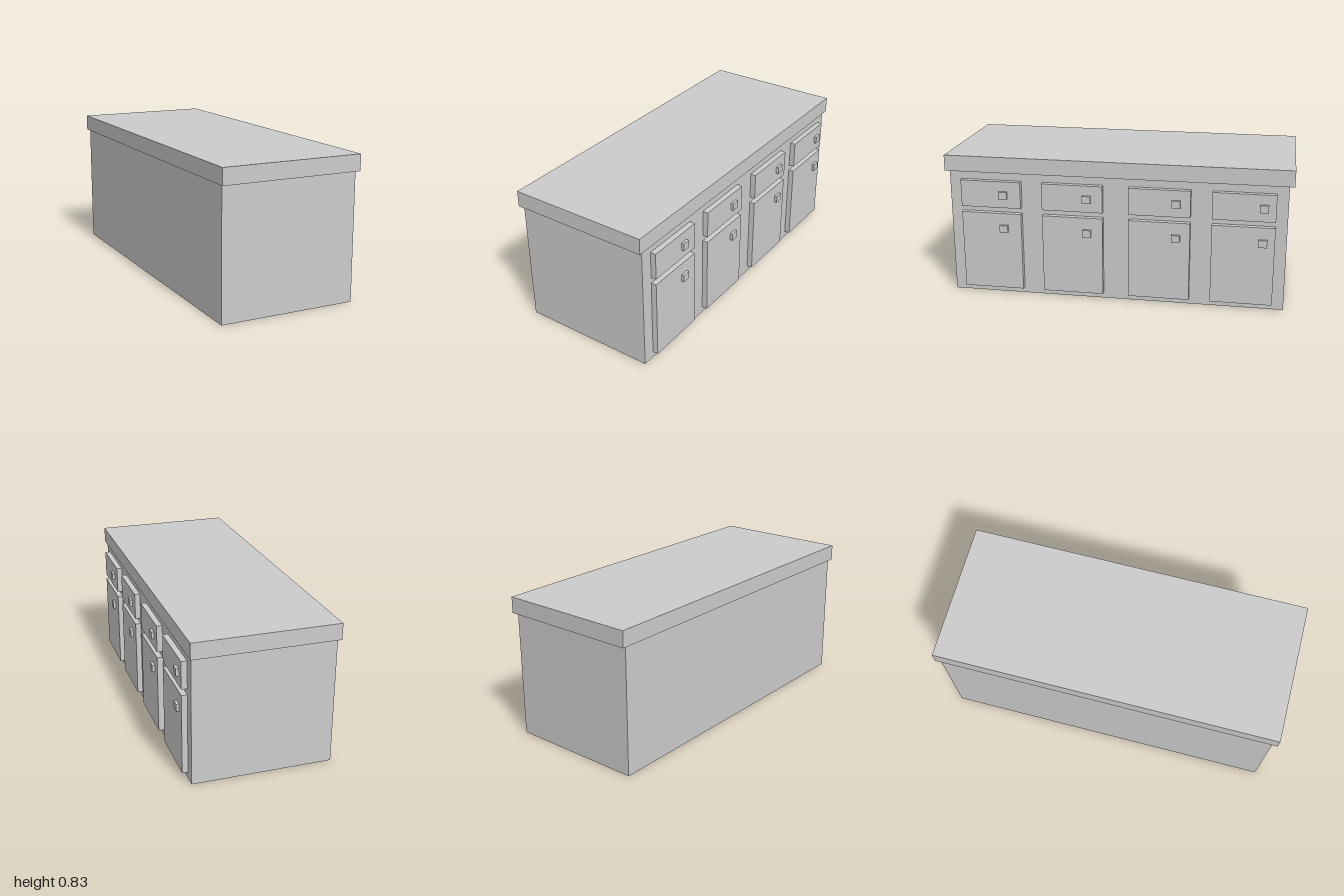
import * as THREE from 'three';

const material = new THREE.MeshStandardMaterial({ color: 0xcccccc, flatShading: true });

// Box given by its [min, max] extent along each axis
function box(name, [x0, x1], [y0, y1], [z0, z1]) {
  const mesh = new THREE.Mesh(new THREE.BoxGeometry(x1 - x0, y1 - y0, z1 - z0), material);
  mesh.name = name;
  mesh.position.set((x0 + x1) / 2, (y0 + y1) / 2, (z0 + z1) / 2);
  return mesh;
}

const around = (centre, size) => [centre - size / 2, centre + size / 2];

export function createModel() {
  const group = new THREE.Group();
  group.name = 'kitchenCounter';

  // Cabinet body and overhanging worktop
  group.add(box('cabinetBody', [-0.418, 0.379], [0, 0.735], [-0.972, 0.972]));
  group.add(box('worktop', [-0.429, 0.39], [0.734, 0.827], [-1, 1]));

  // Four columns, each a drawer above a door, with a square knob on both
  const columns = [
    { z: 0.723, knobZ: 0.648 },
    { z: 0.244, knobZ: 0.158 },
    { z: -0.257, knobZ: -0.353 },
    { z: -0.731, knobZ: -0.841 },
  ];
  const fronts = [
    { name: 'drawer', y: [0.532, 0.689], knobY: 0.61 },
    { name: 'door', y: [0.036, 0.498], knobY: 0.407 },
  ];
  for (const { z, knobZ } of columns) {
    for (const { name, y, knobY } of fronts) {
      group.add(box(name, [0.37, 0.411], y, around(z, 0.353)));
      group.add(box(name + 'Knob', [0.405, 0.427], around(knobY, 0.043), around(knobZ, 0.049)));
    }
  }
  return group;
}
